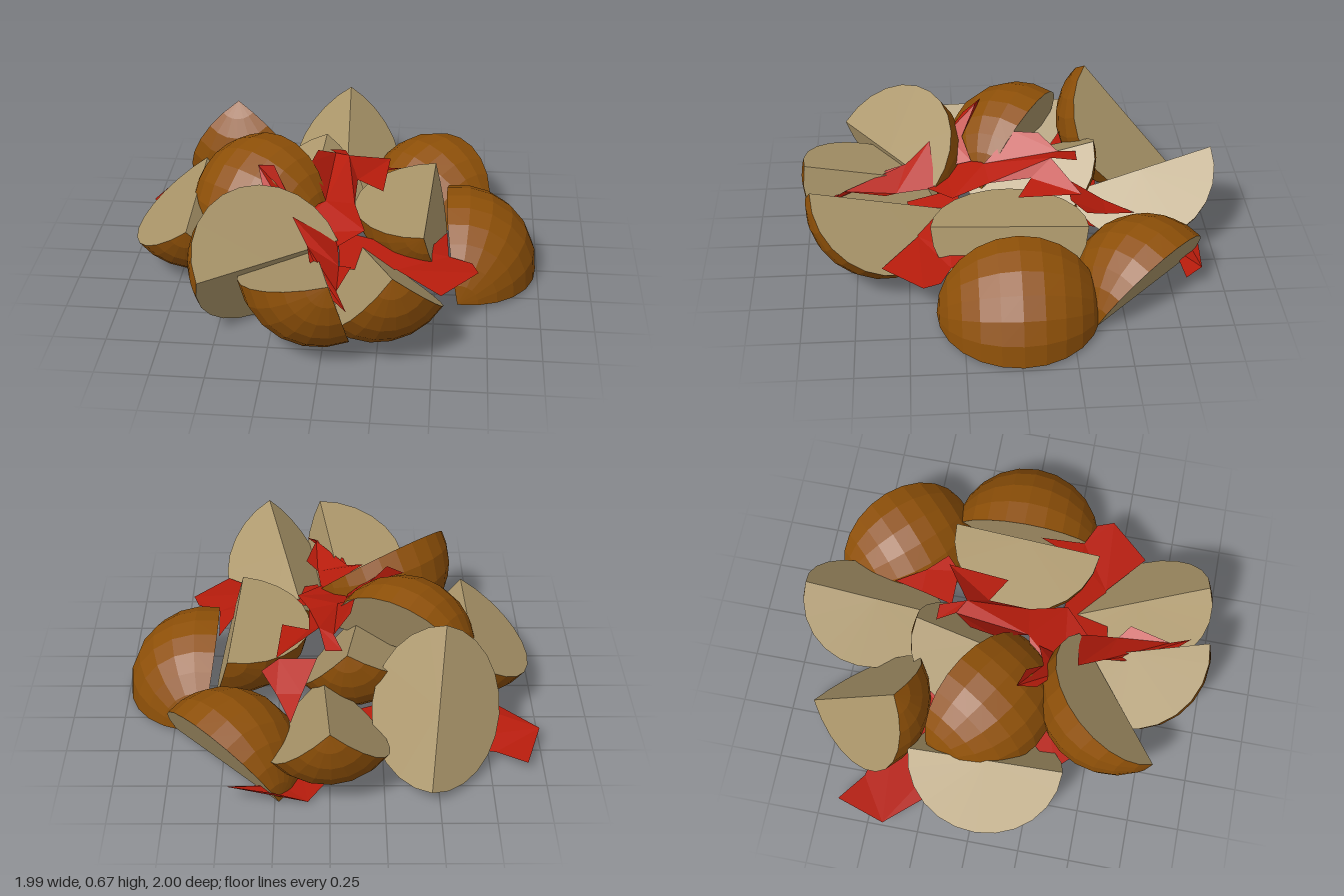
import * as THREE from 'three';

const skinMat = new THREE.MeshStandardMaterial({ color: 0x8e5008, flatShading: true });
const fleshMat = new THREE.MeshStandardMaterial({ color: 0xab966a, flatShading: true });
const redMat = new THREE.MeshStandardMaterial({ color: 0xb81c0c, flatShading: true, side: THREE.DoubleSide });

// One wedge of a ball: its ridge runs from end a to end b, its skin bulges towards 'bulge'
function wedge(name, a, b, bulge, degrees = 97) {
  const p = new THREE.Vector3(...a), q = new THREE.Vector3(...b);
  const r = p.distanceTo(q) / 2;
  const angle = THREE.MathUtils.degToRad(degrees);
  const group = new THREE.Group();
  group.name = name;

  // curved skin, poles at the ridge ends
  const skin = new THREE.Mesh(
    new THREE.SphereGeometry(r, 6, 12, Math.PI - angle / 2, angle), skinMat);
  skin.name = 'wedgeSkin';
  group.add(skin);

  // two flat cut faces meeting at the ridge
  for (const side of [-1, 1]) {
    const disc = new THREE.CircleGeometry(r, 12, -Math.PI / 2, Math.PI);
    if (side > 0) disc.rotateX(Math.PI);
    disc.rotateY(side * angle / 2);
    const face = new THREE.Mesh(disc, fleshMat);
    face.name = 'cutFace';
    group.add(face);
  }

  // local y = ridge, local x = bulge
  const y = p.clone().sub(q).normalize();
  const x = new THREE.Vector3(...bulge);
  x.addScaledVector(y, -x.dot(y)).normalize();
  const z = new THREE.Vector3().crossVectors(x, y);
  group.quaternion.setFromRotationMatrix(new THREE.Matrix4().makeBasis(x, y, z));
  group.position.copy(p).add(q).multiplyScalar(0.5);
  return group;
}

// Thin torn piece, triangulated as seen from above
function shard(name, points) {
  const outline = points.map(([x, , z]) => new THREE.Vector2(x, -z));
  const geo = new THREE.BufferGeometry();
  geo.setAttribute('position', new THREE.Float32BufferAttribute(points.flat(), 3));
  geo.setIndex(THREE.ShapeUtils.triangulateShape(outline, []).flat());
  geo.computeVertexNormals();
  const mesh = new THREE.Mesh(geo, redMat);
  mesh.name = name;
  return mesh;
}

export function createModel() {
  const model = new THREE.Group();
  model.name = 'wedgePile';

  // Outer ring of wedges
  model.add(
    wedge('backLeftWedge', [-0.53, 0.67, -0.42], [-0.46, 0.08, -0.89], [0, -0.6, 0.8], 104),
    wedge('backWedge', [0, 0.5, -0.985], [0.03, 0.28, -0.3], [-0.05, -1, -0.35], 102),
    wedge('backRightWedge', [0.74, 0.02, -0.36], [0.23, 0.02, -0.88], [-0.3, 0.8, 0.29], 108),
    wedge('rightWedge', [0.61, 0.03, -0.39], [0.61, 0.03, 0.375], [0.66, 0.75, 0], 104),
    wedge('frontRightWedge', [0.32, 0.53, 0.94], [0.14, 0.28, 0.28], [0.2, -1, 0.35], 95),
    wedge('frontWedge', [0.05, 0.5, 0.98], [-0.09, 0.28, 0.27], [-0.5, -0.85, 0.3], 100),
    wedge('frontLeftWedge', [-0.55, 0.37, 0.81], [0.04, 0.35, 0.36], [-0.5, -0.2, -0.64], 116),
    wedge('leftWedge', [-0.69, 0.38, -0.34], [-0.67, 0.38, 0.4], [-0.12, -1, 0], 97),
  );

  // Inner wedges lying on the pile
  model.add(
    wedge('innerRightWedge', [0.48, 0.4, -0.34], [0.44, 0.4, 0.39], [-0.55, -0.8, 0], 99),
    wedge('topWedge', [-0.66, 0.28, -0.25], [-0.04, 0.27, 0.13], [-0.28, 0.75, 0.44], 108),
    wedge('innerBackWedge', [-0.08, 0.5, -0.42], [-0.15, 0.28, 0.22], [-0.15, -1, -0.35], 110),
  );

  // Red torn sheet between the wedges
  model.add(
    shard('lowerSheet', [
      [-1, 0.07, -0.42], [-0.8, 0.05, -0.2], [-0.5, 0.06, -0.12], [0.02, 0.08, -0.35],
      [0.13, 0.04, -0.72], [0.22, 0.05, -0.8], [0.46, 0.06, -0.82], [0.46, 0.12, -0.89],
      [0.25, 0.1, -0.91], [0.1, 0.02, -0.88], [-0.1, 0.02, -0.56],
      [-0.4, 0.03, -0.48], [-0.78, 0.04, -0.56], [-0.92, 0.06, -0.66]]),
    shard('middleSheet', [
      [-0.06, 0.46, -0.33], [-0.02, 0.49, -0.24], [-0.1, 0.55, -0.15], [-0.12, 0.55, -0.03],
      [-0.04, 0.42, 0.12], [-0.2, 0.36, 0.17], [-0.2, 0.35, 0.32], [0.04, 0.34, 0.4],
      [0.16, 0.36, 0.28], [0.1, 0.4, 0.1], [0.1, 0.42, -0.1], [0.23, 0.4, -0.03],
      [0.25, 0.42, -0.33], [0.05, 0.5, -0.2], [0.02, 0.46, -0.33]]),
    shard('drapedStrip', [
      [-0.36, 0.6, 0.12], [-0.33, 0.54, 0.21], [-0.22, 0.48, 0.3], [-0.1, 0.37, 0.3],
      [-0.08, 0.41, 0.18], [-0.2, 0.48, 0.22], [-0.28, 0.62, 0.15]]),
    shard('frontStrip', [
      [-0.17, 0.48, 0.38], [-0.09, 0.4, 0.5], [-0.07, 0.38, 0.6], [-0.02, 0.35, 0.65],
      [0.04, 0.34, 0.82], [0.12, 0.32, 0.9], [0.07, 0.36, 0.8], [0.12, 0.36, 0.6],
      [0.06, 0.33, 0.55], [0.04, 0.34, 0.36]]),
    shard('rightFlap', [
      [0.03, 0.33, 0.24], [0.06, 0.28, 0.5], [0.32, 0.26, 0.45], [0.53, 0.24, 0.62],
      [0.7, 0.25, 0.43], [0.67, 0.25, 0.35], [0.56, 0.25, 0.3], [0.55, 0.25, 0.08],
      [0.45, 0.27, 0.3]]),
    shard('backStrip', [
      [0.18, 0.25, -0.6], [0.13, 0.3, -0.45], [0.06, 0.38, -0.28], [0.24, 0.38, -0.28],
      [0.32, 0.36, -0.35], [0.25, 0.3, -0.45]]),
    shard('leftScrap', [
      [-0.62, 0.24, 0.36], [-0.52, 0.23, 0.46], [-0.3, 0.25, 0.25], [-0.5, 0.25, 0.2]]),
  );
  return model;
}
